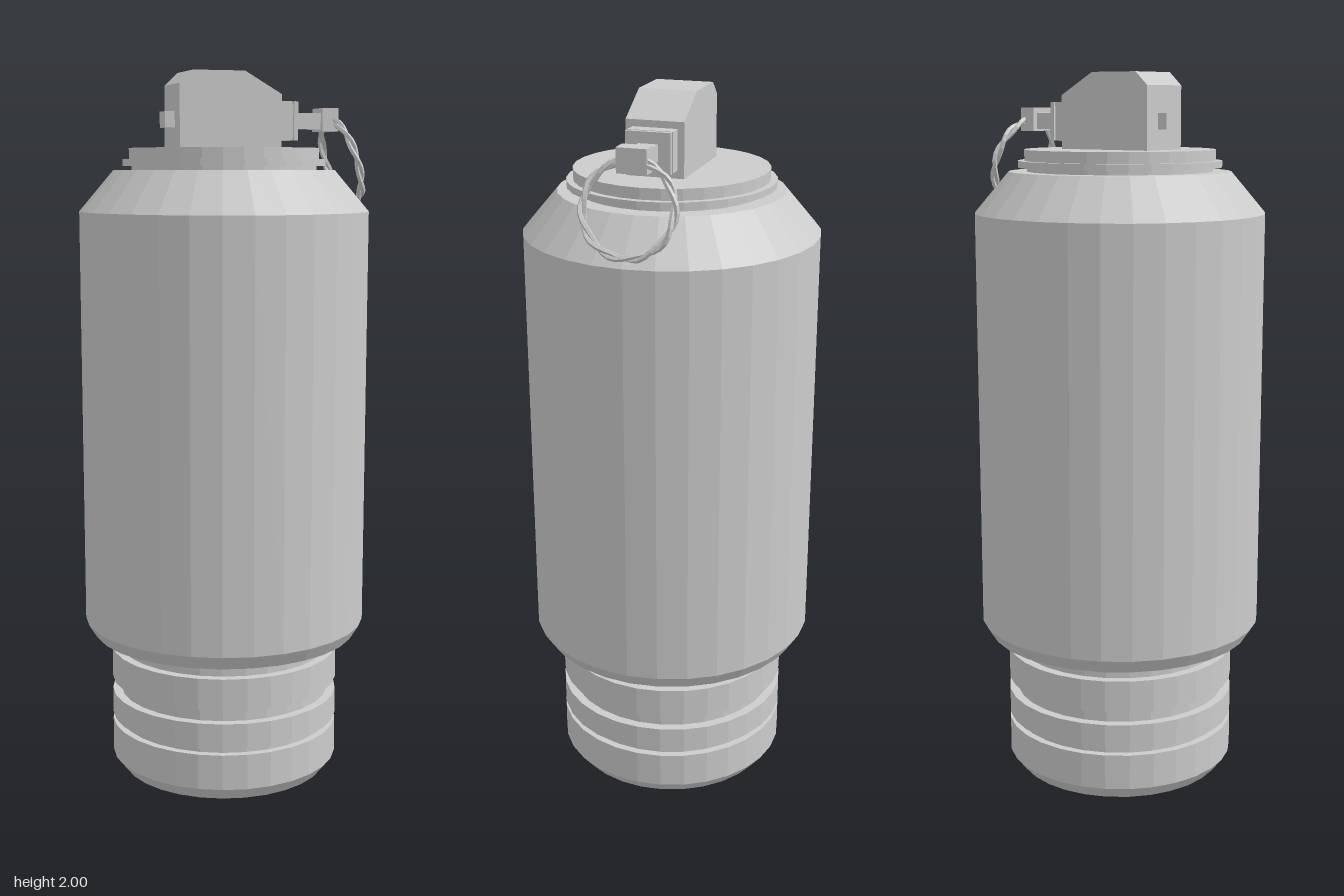
import * as THREE from 'three';

const mat = new THREE.MeshStandardMaterial({ color: 0xcccccc, flatShading: true });

function add(parent, name, geometry) {
  const mesh = new THREE.Mesh(geometry, mat);
  mesh.name = name;
  parent.add(mesh);
  return mesh;
}

// Faceted turned part; profile is [radius, y] from bottom to top
function turned(parent, name, profile) {
  const pts = profile.map(([r, y]) => new THREE.Vector2(r, y));
  return add(parent, name, new THREE.LatheGeometry(pts, 30, Math.PI / 2));
}

// Box centred on z = 0, given by its x and y limits and its half depth
function block(parent, name, x0, x1, y0, y1, halfZ) {
  const mesh = add(parent, name, new THREE.BoxGeometry(x1 - x0, y1 - y0, halfZ * 2));
  mesh.position.set((x0 + x1) / 2, (y0 + y1) / 2, 0);
  return mesh;
}

// One strand of the twisted wire ring
class StrandCurve extends THREE.Curve {
  constructor(radius, offset, turns, phase) {
    super();
    Object.assign(this, { radius, offset, turns, phase });
  }
  getPoint(t, target = new THREE.Vector3()) {
    const a = t * Math.PI * 2;
    const b = a * this.turns + this.phase;
    const r = this.radius + this.offset * Math.cos(b);
    return target.set(r * Math.cos(a), r * Math.sin(a), this.offset * Math.sin(b));
  }
}

export function createModel() {
  const model = new THREE.Group();
  model.name = 'canister';

  // Grooved base with a chamfered foot
  turned(model, 'groovedBase', [
    [0, 0], [0.21, 0], [0.25, 0.018], [0.295, 0.022], [0.325, 0.06],
    [0.325, 0.16], [0.305, 0.16], [0.305, 0.177],
    [0.325, 0.177], [0.325, 0.25], [0.3, 0.25], [0.3, 0.287],
    [0.325, 0.287], [0.325, 0.378], [0.3, 0.378], [0.3, 0.43],
  ]);

  // Main body with sloped shoulder
  turned(model, 'body', [
    [0, 0.415], [0.34, 0.415], [0.375, 0.425], [0.397, 0.46], [0.4, 0.465],
    [0.4, 1.625], [0.305, 1.737], [0, 1.737],
  ]);

  // Cap with a thin collar
  turned(model, 'cap', [
    [0.255, 1.73], [0.255, 1.748], [0.28, 1.748], [0.28, 1.766],
    [0.262, 1.766], [0.262, 1.796], [0, 1.796],
  ]);

  // Fuse housing with bevelled top
  const side = new THREE.Shape([
    [-0.148, 1.79], [0.14, 1.79], [0.14, 1.94], [0.035, 2], [-0.11, 2], [-0.148, 1.965],
  ].map(([x, y]) => new THREE.Vector2(x, y)));
  const housing = new THREE.ExtrudeGeometry(side, { depth: 0.156, bevelEnabled: false });
  add(model, 'fuseHousing', housing.translate(0, 0, -0.078));

  // Pin assembly running through the housing
  const pin = new THREE.Group();
  pin.name = 'pin';
  model.add(pin);
  block(pin, 'pinTail', -0.175, -0.14, 1.85, 1.893, 0.028);
  block(pin, 'pinSocket', 0.13, 0.178, 1.817, 1.922, 0.06);
  block(pin, 'pinGroove', 0.17, 0.186, 1.825, 1.914, 0.052);
  block(pin, 'pinFlange', 0.183, 0.195, 1.817, 1.922, 0.06);
  block(pin, 'pinRod', 0.19, 0.28, 1.848, 1.892, 0.026);
  block(pin, 'pinHead', 0.274, 0.321, 1.842, 1.906, 0.04);

  // Tilted pull ring of two twisted strands
  const ring = new THREE.Group();
  ring.name = 'pullRing';
  ring.rotation.order = 'ZYX';
  ring.rotation.set(0, Math.PI / 2, 0.32);
  ring.position.set(0.347, 1.761, 0);
  for (let i = 0; i < 2; i++) {
    const strand = new StrandCurve(0.12, 0.006, 5, i * Math.PI);
    add(ring, 'ringStrand', new THREE.TubeGeometry(strand, 40, 0.007, 5, true));
  }
  model.add(ring);

  return model;
}
